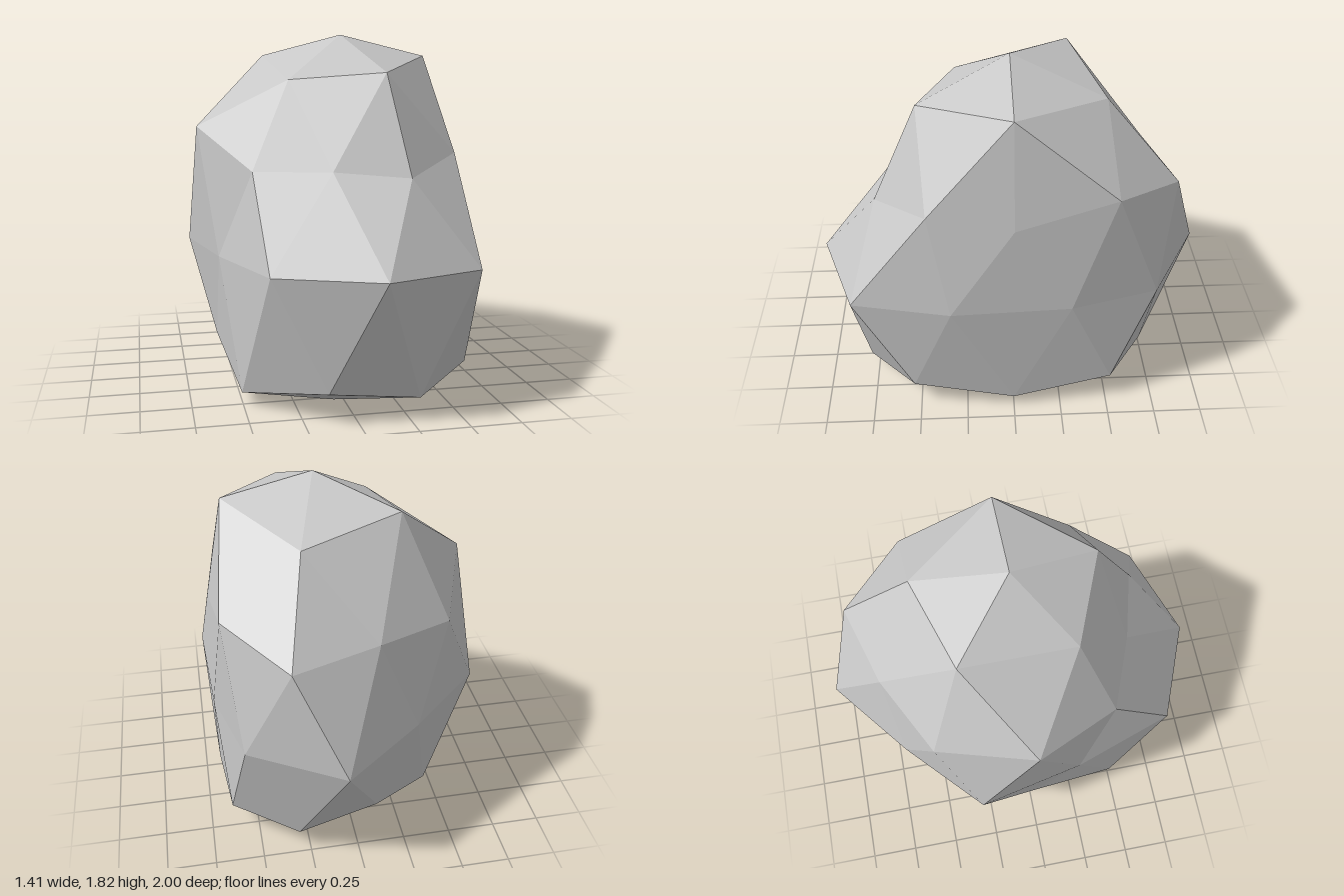
import * as THREE from 'three';
import { ConvexGeometry } from 'three/addons/geometries/ConvexGeometry.js';

// Rings of a once-divided icosphere standing on a pole, the lower ones set a little low:
// height on the unit sphere, first angle and step in degrees, radius at each point
const RINGS = [
  { y: 1, start: 0, step: 72, radii: [0.952] },
  { y: 0.851, start: 0, step: 72, radii: [1.01, 0.92, 0.885, 1.015, 0.935] },
  { y: 0.526, start: 36, step: 72, radii: [0.84, 0.73, 1.04, 0.87, 0.99] },
  { y: 0.447, start: 0, step: 72, radii: [0.9, 0.81, 0.85, 0.94, 0.98] },
  { y: 0, start: 18, step: 36, radii: [1.03, 1.015, 1.0, 0.985, 0.83, 0.97, 0.82, 1.0, 0.905, 0.93] },
  { y: -0.457, start: 36, step: 72, radii: [1.01, 1.015, 0.88, 0.85, 0.99] },
  { y: -0.538, start: 0, step: 72, radii: [1.0, 0.98, 1.02, 0.9, 0.91] },
  { y: -0.851, start: 36, step: 72, radii: [0.95, 1.06, 0.9, 0.97, 0.95] },
  { y: -1, start: 0, step: 72, radii: [0.88] },
];

const CENTRE = new THREE.Vector3(0.1, 0.698, 0);
const STRETCH = new THREE.Vector3(0.87, 1.178, 1);

// Stretch a point, then press it towards the flat left side and the flat base
function shape(direction, radius) {
  const p = direction.clone().multiplyScalar(radius).multiply(STRETCH).add(CENTRE);
  if (p.x > 0.6) p.x = 0.6 + (p.x - 0.6) * 0.3;
  if (p.y < 0.065) p.y = Math.max(0, 0.065 + (p.y - 0.065) * 0.17);
  return p;
}

export function createModel() {
  const directions = [];
  const points = [];
  for (const { y, start, step, radii } of RINGS) {
    const h = Math.sqrt(1 - y * y);
    radii.forEach((radius, i) => {
      const a = THREE.MathUtils.degToRad(start + step * i);
      const d = new THREE.Vector3(Math.cos(a) * h, y, Math.sin(a) * h);
      directions.push(d);
      points.push(shape(d, radius));
    });
  }

  // The round hull gives the faces; each corner then moves to its shaped point
  const geometry = new ConvexGeometry(directions);
  const position = geometry.attributes.position;
  const corner = new THREE.Vector3();
  for (let i = 0; i < position.count; i++) {
    corner.fromBufferAttribute(position, i);
    const k = directions.findIndex((d) => d.distanceTo(corner) < 0.01);
    position.setXYZ(i, points[k].x, points[k].y, points[k].z);
  }
  geometry.computeVertexNormals();

  const stone = new THREE.MeshStandardMaterial({ color: 0xc7c7c7, flatShading: true });
  stone.name = 'pale grey stone';
  const boulder = new THREE.Mesh(geometry, stone);
  boulder.name = 'boulder';

  const group = new THREE.Group();
  group.name = 'rock';
  group.add(boulder);
  return group;
}
